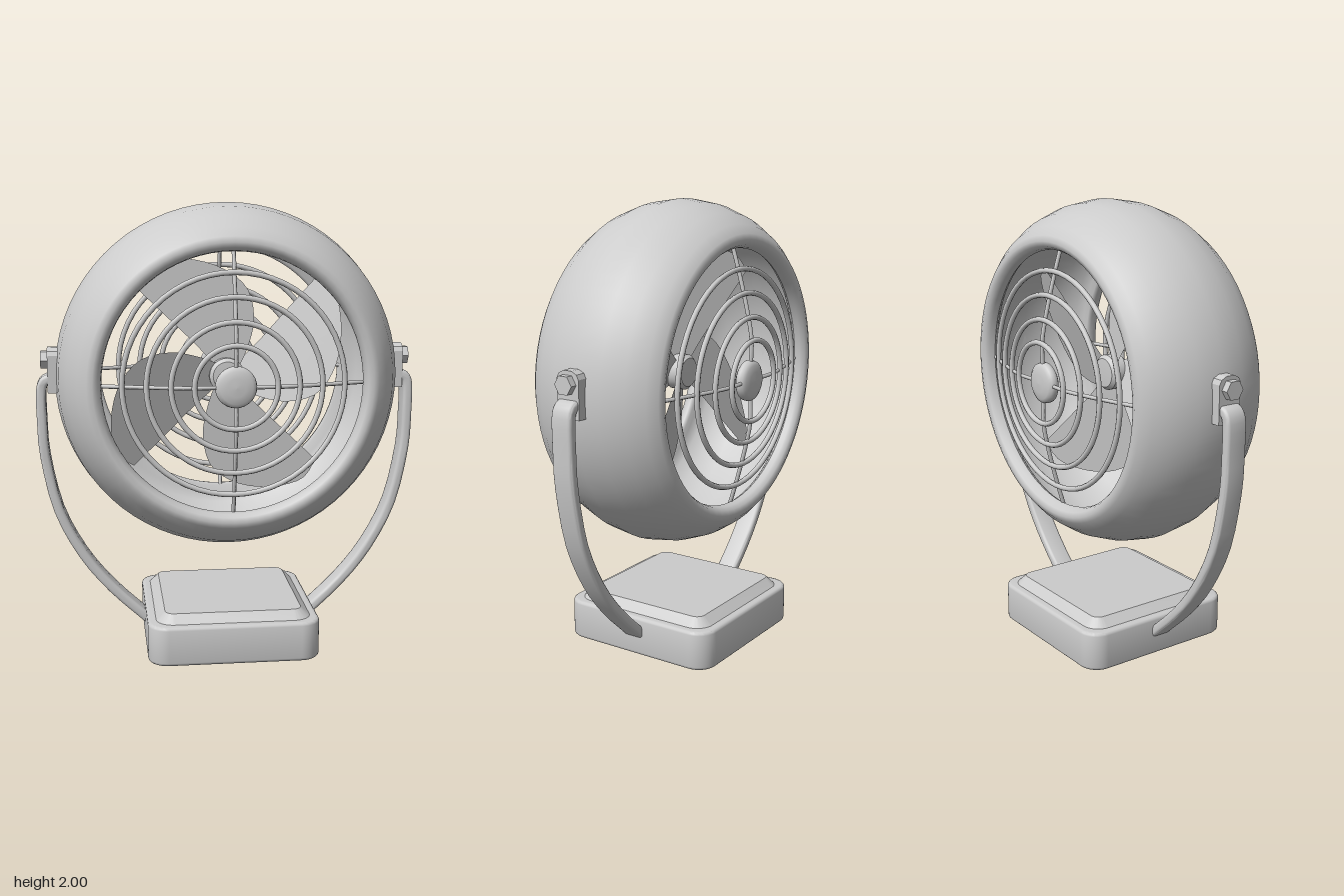
import * as THREE from 'three';
import { toCreasedNormals } from 'three/addons/utils/BufferGeometryUtils.js';

const CY = 1.231; // height of the fan axis
const mat = new THREE.MeshStandardMaterial({ color: 0xcccccc, side: THREE.DoubleSide });
const v2 = (a) => a.map(([x, y]) => new THREE.Vector2(x, y));

function add(parent, name, geometry) {
  const mesh = new THREE.Mesh(geometry, mat);
  mesh.name = name;
  parent.add(mesh);
  return mesh;
}

// Lathe whose axis is z
function latheZ(points, segments) {
  return new THREE.LatheGeometry(points, segments).rotateX(Math.PI / 2);
}

function roundedSquare(half, r) {
  const s = new THREE.Shape();
  const c = half - r;
  s.absarc(c, c, r, 0, Math.PI / 2);
  s.absarc(-c, c, r, Math.PI / 2, Math.PI);
  s.absarc(-c, -c, r, Math.PI, Math.PI * 1.5);
  s.absarc(c, -c, r, Math.PI * 1.5, Math.PI * 2);
  return s;
}

// Square slab with rounded corners and bevelled edges, from y0 to y1
function slab(half, r, y0, y1, bevelH, bevelW, steps) {
  const g = new THREE.ExtrudeGeometry(roundedSquare(half - bevelW, r), {
    depth: y1 - y0 - 2 * bevelH, bevelThickness: bevelH, bevelSize: bevelW,
    bevelSegments: steps, curveSegments: 8,
  });
  g.rotateX(-Math.PI / 2).translate(0, y0 + bevelH, 0);
  return toCreasedNormals(g, 0.6);
}

// Hollow ring-shaped housing with rolled lips
function housing() {
  const outer = [[0.566, 0.275], [0.571, 0.3], [0.583, 0.319], [0.605, 0.327], [0.63, 0.318],
    [0.668, 0.283], [0.715, 0.213], [0.752, 0.115]];
  const inner = [[0.73, 0.1], [0.695, 0.18], [0.65, 0.235], [0.61, 0.258], [0.576, 0.258]];
  const flip = (a) => a.map(([r, z]) => [r, -z]);
  const profile = [...flip(outer), [0.769, 0], ...[...outer].reverse(),
    ...[...inner].reverse(), [0.742, 0], ...flip(inner), [0.566, -0.275]];
  return latheZ(v2(profile), 72);
}

// Domed guard: concentric wires, four bent spokes and a cap
function grille() {
  const g = new THREE.Group();
  const rings = [[0.178, 0.38], [0.275, 0.358], [0.378, 0.334], [0.48, 0.306]];
  for (const [r, z] of rings) {
    add(g, 'guardRing', new THREE.TorusGeometry(r, 0.012, 8, 56)).position.z = z;
  }
  const path = new THREE.CatmullRomCurve3(
    [[0.05, 0.365], [0.18, 0.368], [0.28, 0.35], [0.38, 0.325], [0.48, 0.297], [0.575, 0.268]]
      .map(([x, z]) => new THREE.Vector3(x, 0, z)));
  const spoke = new THREE.TubeGeometry(path, 16, 0.009, 6);
  for (let i = 0; i < 4; i++) add(g, 'guardSpoke', spoke).rotation.z = i * Math.PI / 2;
  const cap = [[0, 0.335], [0.075, 0.335], [0.088, 0.345], [0.09, 0.36], [0.086, 0.375],
    [0.07, 0.385], [0.04, 0.39], [0, 0.392]];
  add(g, 'guardCap', latheZ(v2(cap), 32));
  return g;
}

// Pitched blade spanned between a straight edge and a rounded edge
function blade() {
  const straight = new THREE.SplineCurve(v2([[-0.04, 0.03], [-0.14, 0.14], [-0.28, 0.275], [-0.43, 0.42]]));
  const round = new THREE.SplineCurve(v2([[0.05, 0.03], [0.09, 0.13], [0.115, 0.26], [0.08, 0.4],
    [-0.04, 0.49], [-0.2, 0.525], [-0.36, 0.505], [-0.43, 0.42]]));
  const g = new THREE.PlaneGeometry(1, 1, 8, 24);
  const p = g.attributes.position;
  for (let i = 0; i < p.count; i++) {
    const u = p.getX(i) + 0.5, t = p.getY(i) + 0.5;
    const q = straight.getPoint(t).lerp(round.getPoint(t), u);
    const across = 0.92 * q.x + 0.38 * q.y;
    p.setXYZ(i, q.x, q.y, 0.36 * across);
  }
  g.computeVertexNormals();
  return g;
}

// Flat strap following a curve in the xy plane
function strap(points, thickness, width) {
  const curve = new THREE.SplineCurve(v2(points));
  const bevel = 0.014, half = thickness / 2 - bevel, n = 24;
  const sides = [[], []];
  for (let i = 0; i <= n; i++) {
    const p = curve.getPoint(i / n), t = curve.getTangent(i / n);
    sides[0].push(new THREE.Vector2(p.x - t.y * half, p.y + t.x * half));
    sides[1].push(new THREE.Vector2(p.x + t.y * half, p.y - t.x * half));
  }
  const shape = new THREE.Shape([...sides[0], ...sides[1].reverse()]);
  const g = new THREE.ExtrudeGeometry(shape, {
    depth: width - 2 * bevel, bevelThickness: bevel, bevelSize: bevel, bevelSegments: 3,
  });
  g.translate(0, 0, -width / 2 + bevel);
  return toCreasedNormals(g, 0.7);
}

// Pivot plate with a rounded top, lying against the housing
function pivotPlate() {
  const s = new THREE.Shape(v2([[-0.055, 1.17], [0.055, 1.17], [0.055, 1.335], [0.045, 1.355],
    [0.02, 1.368], [-0.02, 1.368], [-0.045, 1.355], [-0.055, 1.335]]));
  const g = new THREE.ExtrudeGeometry(s, { depth: 0.06, bevelEnabled: false });
  return g.rotateY(Math.PI / 2).translate(0.74, 0, 0);
}

function side(sign) {
  const g = new THREE.Group();
  g.name = sign > 0 ? 'leftSupport' : 'rightSupport';
  const path = [[0.78, 1.23], [0.812, 1.222], [0.83, 1.18], [0.83, 1.05], [0.82, 0.88], [0.765, 0.63],
    [0.66, 0.42], [0.53, 0.255], [0.375, 0.108]];
  add(g, 'yokeArm', strap(path, 0.044, 0.1));
  add(g, 'pivotPlate', pivotPlate());
  const bolt = new THREE.CylinderGeometry(0.043, 0.043, 0.035, 6).rotateZ(Math.PI / 2);
  add(g, 'pivotBolt', toCreasedNormals(bolt, 0.5)).position.set(0.813, 1.313, 0);
  if (sign < 0) g.rotation.y = Math.PI; // every part is symmetric in z
  return g;
}

export function createModel() {
  const model = new THREE.Group();
  model.name = 'deskFan';

  // Foot
  add(model, 'base', slab(0.383, 0.075, 0, 0.178, 0.015, 0.015, 3));
  add(model, 'baseTop', slab(0.345, 0.04, 0.1, 0.216, 0.038, 0.04, 1));

  // Yoke and pivots
  model.add(side(1), side(-1));

  // Fan head
  const head = new THREE.Group();
  head.name = 'fanHead';
  head.position.y = CY;
  model.add(head);
  add(head, 'housing', housing());

  const front = grille();
  front.name = 'frontGuard';
  const back = grille();
  back.name = 'backGuard';
  back.rotation.y = Math.PI;
  head.add(front, back);

  // Propeller
  const hub = [[0, -0.05], [0.065, -0.046], [0.08, -0.03], [0.08, 0.03], [0.065, 0.046], [0, 0.05]];
  add(head, 'propellerHub', toCreasedNormals(latheZ(v2(hub), 28), 0.6));
  const bladeGeometry = blade();
  for (let i = 0; i < 4; i++) add(head, 'propellerBlade', bladeGeometry).rotation.z = i * Math.PI / 2;

  return model;
}
